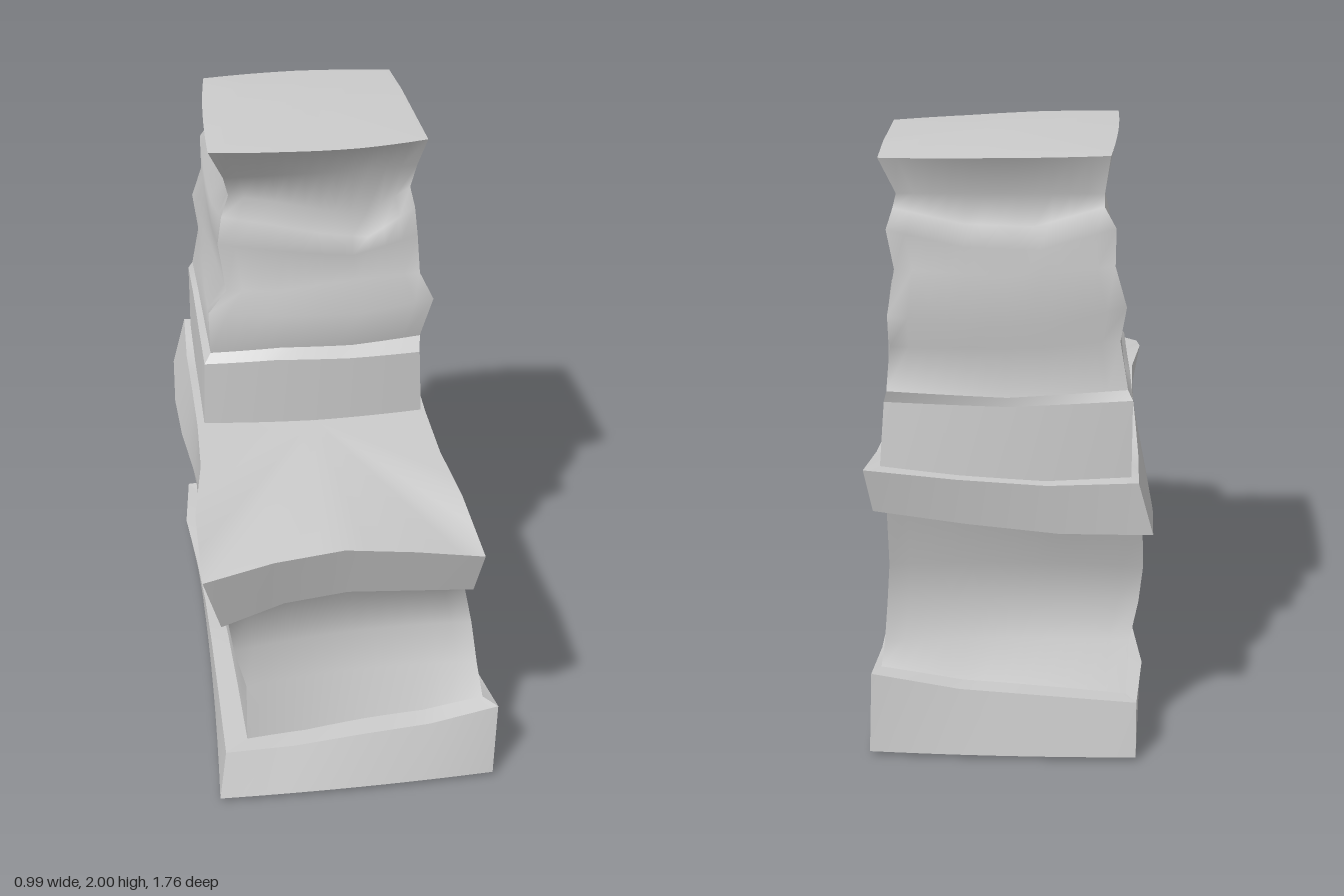
import * as THREE from 'three';

const N = 12; // segments along each side

// Linear sample of a short list at t in 0..1
function sample(list, t) {
  const s = t * (list.length - 1);
  const i = Math.min(Math.floor(s), list.length - 2);
  return list[i] + (list[i + 1] - list[i]) * (s - i);
}

// Ring of four sides (front, +x, back, -x).
// corners: [x, z] front -x, front +x, back +x, back -x
// heights: one list per side, each starting at its corner and ending at the next side's first value
// bows: outward offset per side, a number (parabola) or a list
function ring(corners, heights, bows = [0, 0, 0, 0]) {
  const outward = [[0, 1], [1, 0], [0, -1], [-1, 0]];
  return corners.map(([x, z], s) => {
    const n = (s + 1) % 4, [x2, z2] = corners[n];
    const ys = [...heights[s], heights[n][0]];
    return Array.from({ length: N + 1 }, (_, i) => {
      const t = i / N;
      const b = Array.isArray(bows[s]) ? sample([0, ...bows[s], 0], t) : bows[s] * 4 * t * (1 - t);
      return [x + (x2 - x) * t + outward[s][0] * b, sample(ys, t), z + (z2 - z) * t + outward[s][1] * b];
    });
  });
}

const shiftY = (heights, d) => heights.map(side => side.map(y => y + d));

function makeMesh(name, pos, index) {
  const g = new THREE.BufferGeometry();
  g.setAttribute('position', new THREE.Float32BufferAttribute(pos.flat(), 3));
  g.setIndex(index);
  g.computeVertexNormals();
  const m = new THREE.Mesh(g, new THREE.MeshStandardMaterial({ color: 0xcccccc }));
  m.name = name;
  return m;
}

// Skin rings from bottom to top; smooth within a side, sharp at the corners
function skin(name, rings) {
  const pos = [], index = [];
  for (let s = 0; s < 4; s++) {
    const base = pos.length;
    rings.forEach(r => pos.push(...r[s]));
    for (let j = 0; j < rings.length - 1; j++) {
      for (let i = 0; i < N; i++) {
        const a = base + j * (N + 1) + i, d = a + N + 1;
        index.push(a, a + 1, d + 1, a, d + 1, d);
      }
    }
  }
  return makeMesh(name, pos, index);
}

// Close a ring with a fan to its middle
function cap(name, r, y, up) {
  const loop = r.flatMap(side => side.slice(0, N));
  const n = loop.length, mid = [0, y, 0];
  loop.forEach(p => { mid[0] += p[0] / n; mid[2] += p[2] / n; });
  const index = [];
  for (let i = 0; i < n; i++) {
    const k = (i + 1) % n;
    index.push(...(up ? [n, i, k] : [n, k, i]));
  }
  return makeMesh(name, [...loop, mid], index);
}

function part(name, ...meshes) {
  const g = new THREE.Group();
  g.name = name;
  g.add(...meshes);
  return g;
}

const level = y => [[y, y], [y, y], [y, y], [y, y]];

export function createModel() {
  const model = new THREE.Group();
  model.name = 'steppedPedestal';

  // Plinth with a wavy top edge
  const plinthY = [[0.16, 0.165, 0.19, 0.21], [0.26, 0.20, 0.24, 0.255, 0.26, 0.24],
    [0.29, 0.24, 0.22], [0.20, 0.20, 0.19, 0.20, 0.22, 0.20]];
  const plinthBottom = ring([[-0.47, 0.86], [0.47, 0.88], [0.47, -0.84], [-0.40, -0.88]], level(0.015), [0.01, -0.02, 0.01, -0.02]);
  const plinthTop = ring([[-0.44, 0.80], [0.49, 0.83], [0.46, -0.82], [-0.40, -0.85]], plinthY,
    [0, [0, -0.04, -0.05, -0.04, -0.02], 0, [0.03, 0.01, 0, 0, 0]]);
  const bodyFoot = ring([[-0.36, 0.74], [0.45, 0.77], [0.43, -0.77], [-0.37, -0.79]], plinthY,
    [-0.02, [0, -0.04, -0.05, -0.04, -0.02], -0.01, 0]);
  model.add(part('plinth', skin('plinthSides', [plinthBottom, plinthTop]),
    skin('plinthLedge', [plinthTop, bodyFoot]), cap('plinthUnderside', plinthBottom, 0, false)));

  // Slab edges, shared by the body below
  const slabLowY = [[0.67, 0.75, 0.78, 0.77], [0.76, 0.82, 0.82, 0.72, 0.83, 0.82],
    [0.86, 0.82, 0.79], [0.79, 0.76, 0.77, 0.76, 0.75, 0.72]];
  const slabTopY = [[0.89, 0.95, 0.98, 0.955], [0.92, 0.97, 0.97, 0.97, 0.965, 0.96],
    [1.01, 0.98, 0.96], [0.97, 0.95, 0.97, 0.97, 0.975, 0.96]];
  const bodyHead = ring([[-0.41, 0.74], [0.36, 0.77], [0.40, -0.77], [-0.41, -0.79]], slabLowY, [-0.02, -0.02, -0.02, -0.02]);

  // Waisted body
  model.add(part('body', skin('bodySides', [
    bodyFoot,
    ring([[-0.355, 0.71], [0.44, 0.71], [0.42, -0.73], [-0.38, -0.73]], level(0.36), [-0.03, -0.03, -0.02, 0]),
    ring([[-0.39, 0.68], [0.43, 0.65], [0.41, -0.705], [-0.41, -0.70]], level(0.49), [-0.03, -0.03, -0.02, 0]),
    ring([[-0.41, 0.70], [0.40, 0.66], [0.40, -0.71], [-0.42, -0.73]], level(0.63), [-0.03, -0.02, -0.02, -0.01]),
    bodyHead])));

  // Slab with an arched front
  const slabLow = ring([[-0.44, 0.78], [0.38, 0.83], [0.44, -0.81], [-0.44, -0.84]], slabLowY,
    [0, [-0.01, -0.02, -0.02, -0.01, 0], 0, [0.02, 0.02, 0, -0.02, 0]]);
  const slabTop = ring([[-0.50, 0.84], [0.40, 0.88], [0.465, -0.84], [-0.39, -0.85]], slabTopY,
    [0, [-0.02, -0.04, -0.04, -0.03, -0.01], 0, [0, -0.01, -0.02, -0.02, 0.01]]);
  model.add(part('slab', skin('slabSides', [slabLow, slabTop]),
    skin('slabLip', [bodyHead, slabLow]), cap('slabTop', slabTop, 0.965, true)));

  // Folded tower: lower course, then creased folds rising to a flared head
  const ridgeY = [[1.72, 1.69, 1.65, 1.62], [1.71, 1.63, 1.645], [1.76, 1.71, 1.70], [1.76, 1.69, 1.68]];
  const foldY = [[1.45, 1.44, 1.46, 1.47], [1.47, 1.44, 1.47], [1.50, 1.47, 1.47], [1.52, 1.46, 1.45]];
  const towerFoot = ring([[-0.40, -0.02], [0.38, 0.01], [0.42, -0.80], [-0.37, -0.80]], level(0.94), [0.02, 0, 0.01, 0]);
  const courseTop = ring([[-0.39, -0.03], [0.37, 0], [0.40, -0.77], [-0.37, -0.79]],
    [[1.20, 1.21, 1.20], [1.20, 1.21, 1.22], [1.21, 1.20], [1.22, 1.23, 1.21]], [0.02, 0, 0.01, 0]);
  const foldStart = ring([[-0.365, -0.055], [0.38, -0.05], [0.39, -0.785], [-0.355, -0.775]],
    [[1.23, 1.24, 1.23], [1.24, 1.23, 1.24], [1.25, 1.23], [1.25, 1.25, 1.24]], [0.02, 0, 0.01, 0]);
  const ridge = ring([[-0.31, -0.10], [0.36, -0.10], [0.38, -0.78], [-0.31, -0.77]], ridgeY, [0.03, 0.01, 0.02, 0.01]);
  const headTop = ring([[-0.355, -0.03], [0.395, -0.085], [0.40, -0.77], [-0.29, -0.77]],
    [[1.98, 1.975, 1.965], [1.96, 1.97, 1.98], [1.975, 1.98], [1.98, 1.985, 1.985]], [0.045, 0, 0.03, 0.01]);
  model.add(part('tower',
    skin('lowerCourse', [towerFoot, courseTop]),
    skin('courseLedge', [courseTop, foldStart]),
    skin('towerFolds', [
      foldStart,
      ring([[-0.37, -0.04], [0.42, -0.03], [0.38, -0.74], [-0.33, -0.75]],
        [[1.39, 1.37, 1.36], [1.39, 1.36, 1.37], [1.38, 1.38], [1.40, 1.37, 1.36]], [0.02, 0.01, 0.01, 0]),
      ring([[-0.30, -0.09], [0.38, -0.08], [0.38, -0.815], [-0.345, -0.79]], foldY, [0.02, -0.01, 0.01, -0.01]),
      ring([[-0.325, -0.10], [0.37, -0.09], [0.36, -0.75], [-0.31, -0.76]],
        [[1.62, 1.59, 1.56], [1.61, 1.55, 1.56], [1.63, 1.61], [1.64, 1.59, 1.58]], [0.03, 0, 0.01, 0]),
      ridge,
      ring([[-0.28, -0.14], [0.35, -0.14], [0.36, -0.755], [-0.275, -0.745]], shiftY(ridgeY, 0.06), [0.01, -0.02, 0, -0.01]),
      ring([[-0.30, -0.10], [0.365, -0.11], [0.35, -0.735], [-0.275, -0.74]], level(1.86), [0.01, -0.01, 0, -0.01]),
      headTop]),
    cap('towerTop', headTop, 2.0, true)));

  return model;
}
